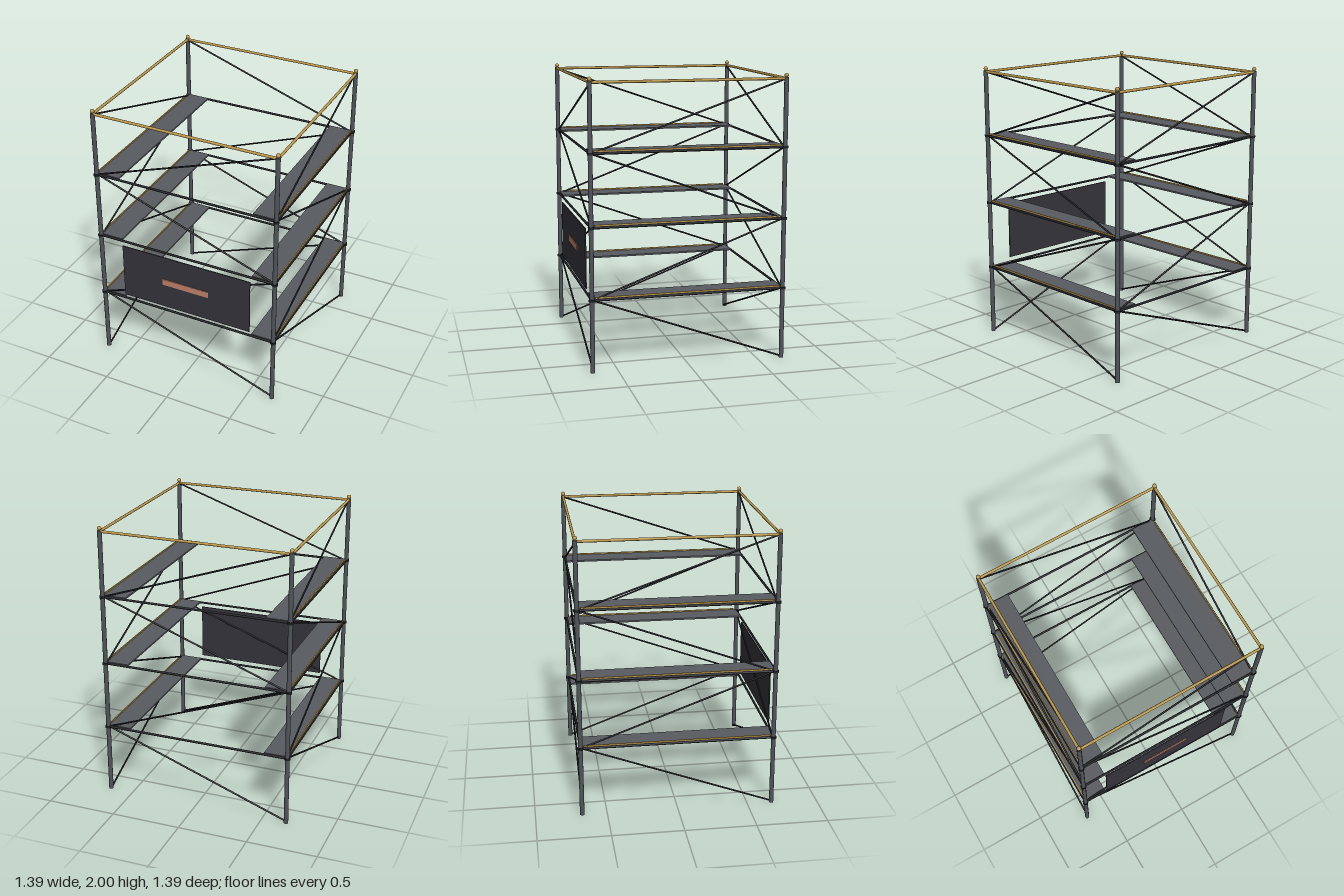
import * as THREE from 'three';

export function createModel() {
  const group = new THREE.Group();
  const mat = (name, color) => Object.assign(new THREE.MeshStandardMaterial({ color }), { name });
  const steel = mat('post steel', 0x50555a);
  const iron = mat('dark iron', 0x1f2024);
  const deckGrey = mat('deck grey', 0x585b5f);
  const brass = mat('brass', 0xbd9a4e);
  const panelDark = mat('panel charcoal', 0x35343b);
  const copper = mat('copper', 0xc5836b);

  const R = 0.675;                       // post offset from the centre
  const levels = [0.505, 1.0, 1.497];    // platform heights
  const nodes = [0.01, ...levels, 1.96]; // brace joints

  const add = (name, geometry, material, x = 0, y = 0, z = 0, parent = group) => {
    const mesh = new THREE.Mesh(geometry, material);
    mesh.name = name;
    mesh.position.set(x, y, z);
    parent.add(mesh);
    return mesh;
  };

  // Round bar between two points
  const bar = (name, a, b, radius, material, parent) => {
    const from = new THREE.Vector3(...a), to = new THREE.Vector3(...b);
    const dir = to.clone().sub(from);
    const mesh = add(name, new THREE.CylinderGeometry(radius, radius, dir.length(), 8), material, 0, 0, 0, parent);
    mesh.position.copy(from).add(to).multiplyScalar(0.5);
    mesh.quaternion.setFromUnitVectors(new THREE.Vector3(0, 1, 0), dir.normalize());
    return mesh;
  };

  // Four identical sides, each with one post, beams, top rail and alternating braces
  for (let i = 0; i < 4; i++) {
    const side = new THREE.Group();
    side.name = ['frontSide', 'leftSide', 'backSide', 'rightSide'][i];
    side.rotation.y = i * Math.PI / 2;
    group.add(side);

    add('post', new THREE.CylinderGeometry(0.016, 0.016, 1.97, 12), steel, R, 0.985, R, side);
    add('finial', new THREE.SphereGeometry(0.015, 12, 8), brass, R, 1.985, R, side);
    bar('topRail', [-R, 1.963, R], [R, 1.963, R], 0.01, brass, side);

    for (const y of levels) {
      add('collar', new THREE.CylinderGeometry(0.022, 0.022, 0.016, 8), iron, R, y, R, side);
      bar('beam', [-R, y, R], [R, y, R], 0.0085, iron, side);
    }
    for (let k = 0; k < 4; k++) {
      const s = k % 2 ? 1 : -1;
      bar('brace', [-s * 0.67, nodes[k], 0.67], [s * 0.67, nodes[k + 1], 0.67], 0.0065, iron, side);
    }
  }

  // Walkway decks with brass outer edging
  for (const y of levels) {
    for (const s of [-1, 1]) {
      add('deck', new THREE.BoxGeometry(0.165, 0.012, 1.34), deckGrey, s * 0.5875, y + 0.006, 0);
      add('deckEdging', new THREE.BoxGeometry(0.008, 0.01, 1.3), brass, s * 0.672, y + 0.016, 0);
    }
  }

  // Front sign board with a plain bar
  add('signBoard', new THREE.BoxGeometry(0.993, 0.422, 0.008), panelDark, 0, 0.752, 0.681);
  add('signBar', new THREE.BoxGeometry(0.36, 0.047, 0.006), copper, 0, 0.755, 0.687);

  return group;
}
